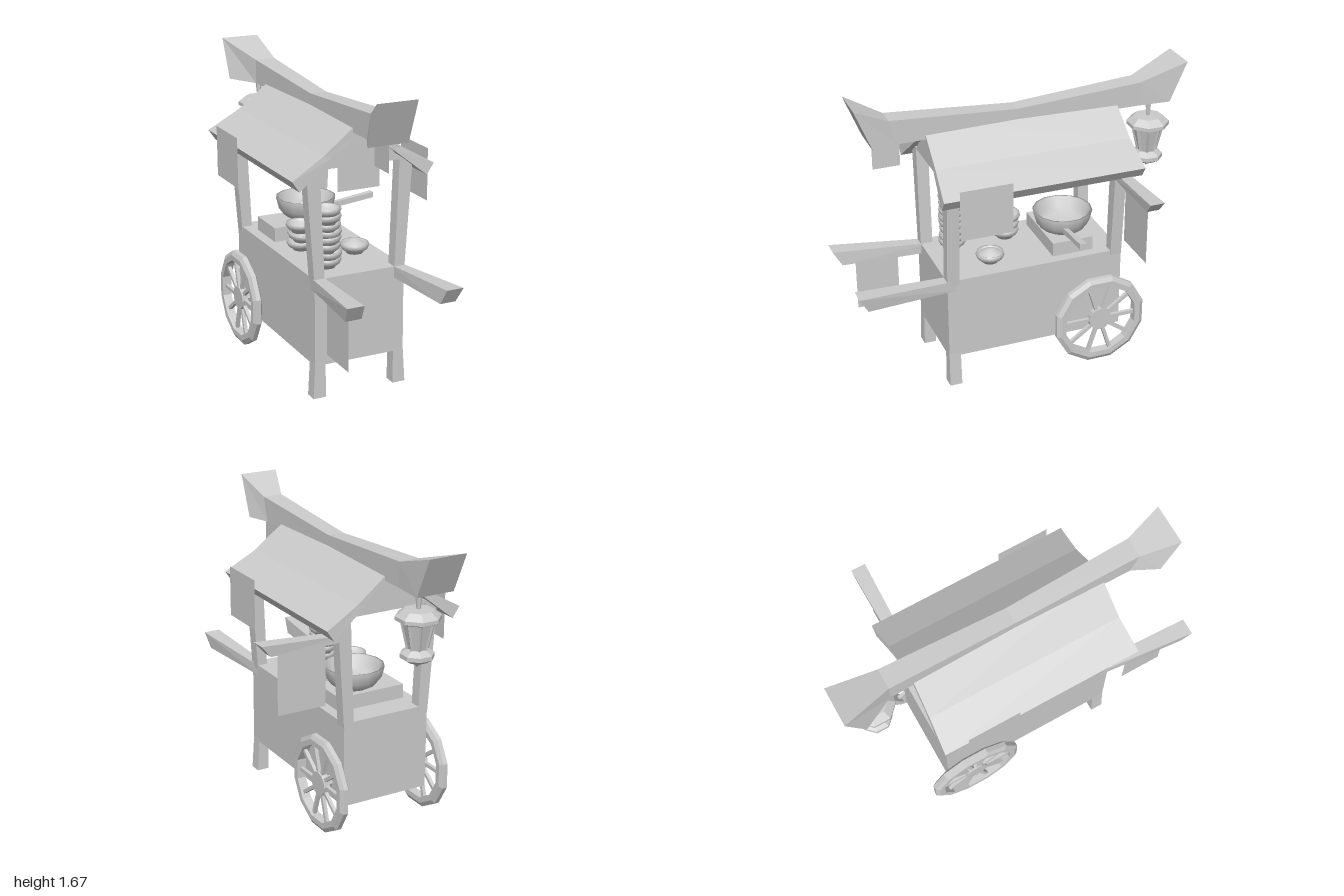
import * as THREE from 'three';

const CX = -0.178; // centre line of the cart
const flat = new THREE.MeshStandardMaterial({ color: 0xcccccc, flatShading: true, side: THREE.DoubleSide });
const smooth = new THREE.MeshStandardMaterial({ color: 0xcccccc, side: THREE.DoubleSide });

// Skin through a row of four-cornered sections, capped at both ends
function loft(sections) {
  const tris = [];
  const quad = (a, b, c, d) => tris.push(a, b, c, a, c, d);
  for (let i = 0; i + 1 < sections.length; i++) {
    const s = sections[i], t = sections[i + 1];
    for (let k = 0; k < 4; k++) quad(s[k], s[(k + 1) % 4], t[(k + 1) % 4], t[k]);
  }
  const s = sections[0], e = sections[sections.length - 1];
  quad(s[3], s[2], s[1], s[0]);
  quad(e[0], e[1], e[2], e[3]);
  // Turn the faces outward if the enclosed volume is negative
  let volume = 0;
  const [a, b, c] = [0, 0, 0].map(() => new THREE.Vector3());
  for (let i = 0; i < tris.length; i += 3) {
    volume += a.fromArray(tris[i]).dot(b.fromArray(tris[i + 1]).cross(c.fromArray(tris[i + 2])));
  }
  if (volume < 0) tris.reverse();
  const g = new THREE.BufferGeometry();
  g.setAttribute('position', new THREE.Float32BufferAttribute(tris.flat(), 3));
  g.computeVertexNormals();
  return g;
}

const lathe = (points, sides, phase = 0) =>
  new THREE.LatheGeometry(points.map(p => new THREE.Vector2(...p)), sides, phase);

export function createModel() {
  const model = new THREE.Group();
  const add = (name, geometry, x = 0, y = 0, z = 0, parent = model, material = flat) => {
    const m = new THREE.Mesh(geometry, material);
    m.name = name;
    m.position.set(x, y, z);
    parent.add(m);
    return m;
  };
  const box = (name, x0, x1, y0, y1, z0, z1) =>
    add(name, new THREE.BoxGeometry(x1 - x0, y1 - y0, z1 - z0), (x0 + x1) / 2, (y0 + y1) / 2, (z0 + z1) / 2);

  // Counter and raised stove
  box('counter', -0.438, 0.082, 0.185, 0.667, -0.54, 0.492);
  box('stove', -0.38, 0.024, 0.66, 0.747, -0.39, -0.15);

  // Rectangle in the horizontal plane, for upright parts
  const level = (x0, x1, y, z0, z1) => [[x0, y, z0], [x1, y, z0], [x1, y, z1], [x0, y, z1]];
  for (const s of [1, -1]) {
    const X = d => CX + s * d;
    add('frontLeg', loft([level(X(0.2), X(0.272), 0, 0.425, 0.495), level(X(0.2), X(0.26), 0.2, 0.425, 0.492)]));
    for (const [z0, z1] of [[0.425, 0.494], [-0.541, -0.475]]) {
      add('roofPost', loft([level(X(0.203), X(0.262), 0.64, z0, z1), level(X(0.228), X(0.305), 1.265, z0, z1)]));
    }
    // Push handles, flaring outward to the front
    add('pushHandle', loft([
      [[X(0.2), 0.605, 0.44], [X(0.26), 0.605, 0.44], [X(0.26), 0.665, 0.44], [X(0.2), 0.665, 0.44]],
      [[X(0.222), 0.613, 0.95], [X(0.31), 0.613, 0.95], [X(0.325), 0.7, 1], [X(0.23), 0.7, 1]],
    ]));

    // Roof slope: stations run from the ridge to the eave
    const slope = [
      [0, 1.5, 0, 1.43, 0.52, -0.585],
      [0.22, 1.33, 0.175, 1.315, 0.525, -0.59],
      [0.403, 1.225, 0.362, 1.165, 0.543, -0.603],
    ];
    add('roofSlope', loft(slope.map(([xo, yo, xi, yi, f, b]) =>
      [[X(xo), yo, f], [X(xo), yo, b], [X(xi), yi, b], [X(xi), yi, f]])));

    // Gable board at each end
    const gable = new THREE.Shape([[-0.235, 1.25], [0.235, 1.25], [0.175, 1.32], [0, 1.44], [-0.175, 1.32]]
      .map(p => new THREE.Vector2(...p)));
    add('gableBoard', new THREE.ExtrudeGeometry(gable, { depth: 0.06, bevelEnabled: false }),
      CX, 0, s > 0 ? 0.43 : -0.54);

    // Wheel: bevelled rim, spokes and hub
    const wheel = new THREE.Group();
    wheel.name = 'wheel';
    wheel.position.set(X(0.315), 0.275, -0.392);
    model.add(wheel);
    const rim = lathe([[0.218, -0.026], [0.25, -0.027], [0.274, -0.013], [0.274, 0.013], [0.25, 0.027],
      [0.218, 0.026], [0.218, -0.026]], 12, Math.PI / 12).rotateZ(Math.PI / 2);
    add('rim', rim, 0, 0, 0, wheel);
    add('hub', new THREE.CylinderGeometry(0.068, 0.068, 0.036, 12).rotateZ(Math.PI / 2), 0, 0, 0, wheel);
    for (let i = 0; i < 10; i++) {
      const spoke = new THREE.BoxGeometry(0.02, 0.17, 0.02).translate(0, 0.14, 0);
      add('spoke', spoke, 0, 0, 0, wheel).rotation.x = (i + 0.5) * Math.PI / 5;
    }
  }
  add('axle', new THREE.CylinderGeometry(0.034, 0.034, 0.63, 8).rotateZ(Math.PI / 2), CX, 0.275, -0.392);

  // Ridge beam sweeping up and widening at both ends: z top, y top, z bottom, y bottom, x left, x right
  const beam = [
    [0.915, 1.672, 0.82, 1.435, -0.305, -0.078],
    [0.72, 1.575, 0.68, 1.435, -0.236, -0.122],
    [0, 1.525, 0, 1.435, -0.226, -0.132],
    [-0.72, 1.572, -0.72, 1.435, -0.236, -0.12],
    [-1, 1.658, -0.9, 1.435, -0.327, -0.108],
  ];
  add('ridgeBeam', loft(beam.map(([zt, yt, zb, yb, x0, x1]) =>
    [[x0, yt, zt], [x1, yt, zt], [x1, yb, zb], [x0, yb, zb]])));

  // Side arm on the back post
  add('bannerArm', loft([
    [[0.07, 1.125, -0.54], [0.07, 1.125, -0.48], [0.07, 1.162, -0.48], [0.07, 1.162, -0.54]],
    [[0.515, 1.125, -0.545], [0.515, 1.125, -0.475], [0.57, 1.19, -0.468], [0.57, 1.19, -0.55]],
  ]));

  // Cloth banners
  add('armBanner', new THREE.PlaneGeometry(0.28, 0.36), 0.32, 0.96, -0.51);
  const sideBanner = (name, x, y0, y1, z0, z1) =>
    add(name, new THREE.PlaneGeometry(z1 - z0, y1 - y0).rotateY(Math.PI / 2), x, (y0 + y1) / 2, (z0 + z1) / 2);
  sideBanner('leftEaveBanner', 0.235, 0.993, 1.28, 0.165, 0.46);
  sideBanner('rightEaveBanner', -0.583, 0.997, 1.28, -0.468, -0.168);
  sideBanner('handleBanner', -0.43, 0.3, 0.62, 0.62, 0.868);
  sideBanner('ridgeBanner', CX, 1.285, 1.45, 0.652, 0.805);

  // Hanging lantern
  const lantern = new THREE.Group();
  lantern.name = 'lantern';
  lantern.position.set(-0.183, 0, -0.807);
  model.add(lantern);
  const P = Math.PI / 8;
  add('hanger', new THREE.CylinderGeometry(0.022, 0.01, 0.12, 6), 0, 1.39, 0, lantern);
  add('cap', lathe([[0, 1.265], [0.085, 1.27], [0.12, 1.285], [0.12, 1.305], [0.08, 1.337], [0, 1.34]], 8, P), 0, 0, 0, lantern);
  add('glass', new THREE.CylinderGeometry(0.085, 0.048, 0.16, 8, 1, false, P), 0, 1.2, 0, lantern);
  add('base', lathe([[0, 1.055], [0.055, 1.06], [0.09, 1.082], [0.09, 1.105], [0.055, 1.13], [0, 1.13]], 8, P), 0, 0, 0, lantern);
  add('finial', lathe([[0, 1.027], [0.02, 1.05], [0.01, 1.065]], 8), 0, 0, 0, lantern);
  for (let i = 0; i < 8; i++) {
    const rib = new THREE.CylinderGeometry(0.008, 0.008, 0.165, 4);
    rib.rotateZ(-0.227).translate(0.067, 1.2, 0).rotateY(P + i * Math.PI / 4);
    add('rib', rib, 0, 0, 0, lantern);
  }

  // Bowls: stacks with a small wobble, and one filled bowl
  const bowlShape = lathe([[0, 0], [0.045, 0], [0.048, 0.008], [0.07, 0.024], [0.08, 0.042], [0.077, 0.058],
    [0.07, 0.056], [0.058, 0.032], [0, 0.018]], 16);
  const stack = (name, x, z, count, step, wobble) => {
    for (let i = 0; i < count; i++) {
      const b = add(name, bowlShape, x + 0.003 * Math.sin(i * 2.3), 0.667 + i * step, z + 0.004 * Math.cos(i * 1.9), model, smooth);
      b.rotation.set(wobble * Math.sin(i * 1.7), 0, wobble * Math.cos(i * 2.1) * 0.4);
    }
  };
  stack('tallStackBowl', -0.293, 0.33, 8, 0.039, 0.07);
  stack('shortStackBowl', -0.295, 0.013, 3, 0.048, 0.13);
  stack('servingBowl', -0.06, 0.19, 1, 0, 0);
  add('bowlFilling', lathe([[0.07, 0.045], [0.045, 0.062], [0.02, 0.075], [0, 0.078]], 12), -0.06, 0.667, 0.19, model, smooth);

  // Wok and its handle
  add('wok', lathe([[0, 0], [0.09, 0], [0.125, 0.02], [0.155, 0.06], [0.17, 0.122], [0.158, 0.122],
    [0.142, 0.065], [0.115, 0.032], [0, 0.018]], 14), -0.135, 0.747, -0.27, model, smooth);
  add('wokHandle', loft([[0.0, 0.79, 0.822, 0.012], [0.262, 0.822, 0.853, 0.02]].map(([x, y0, y1, h]) =>
    [[x, y0, -0.23 - h], [x, y0, -0.23 + h], [x, y1, -0.23 + h], [x, y1, -0.23 - h]])));

  return model;
}
